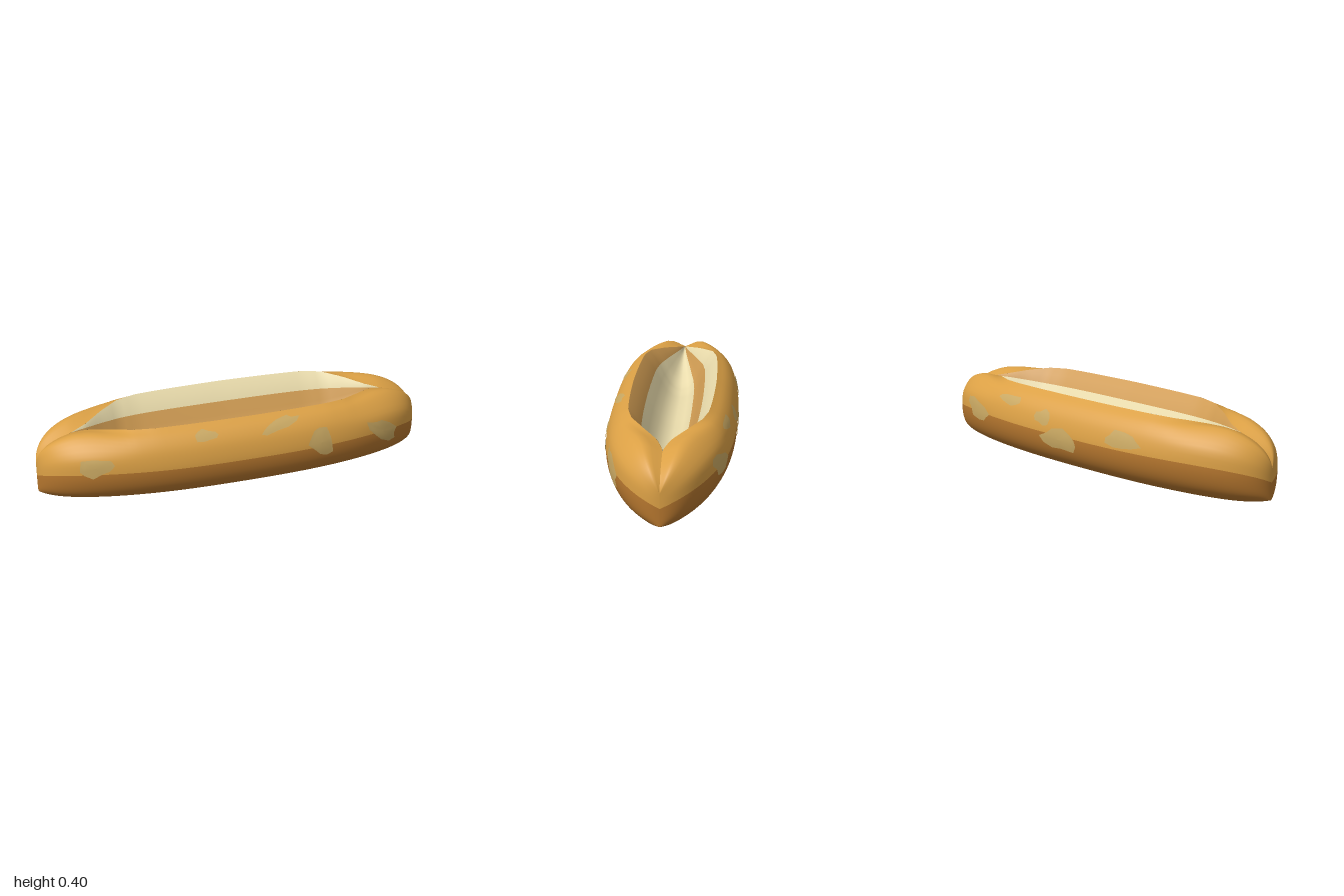
import * as THREE from 'three';

const { lerp, clamp } = THREE.MathUtils;
const V = (z, y) => new THREE.Vector3(0, y, z);

// Half cross-section from the bottom centre to the lip: sliced open, and closed at the ends
const OPEN = [[0, 0], [0.12, 0.008], [0.205, 0.036], [0.272, 0.078], [0.31, 0.14], [0.32, 0.22], [0.3, 0.305], [0.262, 0.362], [0.21, 0.4]];
const CLOSED = [[0, 0], [0.12, 0.008], [0.205, 0.036], [0.272, 0.078], [0.31, 0.14], [0.32, 0.22], [0.29, 0.32], [0.15, 0.4], [0, 0.365]];
const SLIT = [[0, 1], [0.45, 0.97], [0.55, 0.88], [0.65, 0.57], [0.74, 0.2], [0.82, 0]];
const SLIT_END = 0.82;

// How far the slice is open at x, from 0 to 1
function openness(x) {
  const a = Math.abs(x);
  for (let i = 1; i < SLIT.length; i++) {
    const [x0, g0] = SLIT[i - 1], [x1, g1] = SLIT[i];
    if (a <= x1) return lerp(g0, g1, (a - x0) / (x1 - x0));
  }
  return 0;
}

// Smooth half section at x
function section(x) {
  const a = Math.min(1, Math.abs(x)), o = openness(x);
  const width = Math.sqrt(1 - a ** 2.8);
  const top = 0.2 + 0.2 * Math.sqrt(1 - a ** 6);
  const bottom = 0.02 * a * a + 0.02 * a ** 12;
  const pts = OPEN.map(([z, y], i) => V(
    lerp(CLOSED[i][0], z, o) * width,
    bottom + (lerp(CLOSED[i][1], y, o) / 0.4) * (top - bottom)));
  return new THREE.CatmullRomCurve3(pts, false, 'catmullrom', 0.5);
}

// Skin rows of points; each band of columns becomes its own mesh with shared normals
function loft(rows, bands) {
  const cols = rows[0].length;
  const base = new THREE.BufferGeometry().setFromPoints(rows.flat());
  const indexFor = (keep) => {
    const index = [];
    for (let i = 0; i < rows.length - 1; i++) {
      for (let j = 0; j < cols - 1; j++) {
        if (!keep(j)) continue;
        const a = i * cols + j, b = a + cols;
        index.push(a, b, a + 1, b, b + 1, a + 1);
      }
    }
    return index;
  };
  base.setIndex(indexFor(() => true));
  base.computeVertexNormals();
  return bands.map(({ name, color, keep }) => {
    const geometry = base.clone().setIndex(indexFor(keep));
    const mesh = new THREE.Mesh(geometry, new THREE.MeshStandardMaterial({ color, side: THREE.DoubleSide }));
    mesh.name = name;
    return mesh;
  });
}

// Point on the crust at a given x and height, on the front (side 1) or back (side -1)
function crustPoint(x, y, side) {
  const curve = section(x);
  let lo = 0, hi = 0.97;
  for (let k = 0; k < 16; k++) {
    const mid = (lo + hi) / 2;
    if (curve.getPoint(mid).y < y) lo = mid; else hi = mid;
  }
  const p = curve.getPoint(lo);
  return new THREE.Vector3(x * 1.003, p.y + 0.003 * clamp((p.y - 0.2) / 0.2, -1, 1), side * (p.z + 0.004));
}

// Irregular pale spot that follows the crust
function flourSpot([x, y, rx, ry, tilt], side, seed) {
  const N = 11, RINGS = 4, pts = [], index = [];
  for (let r = 0; r <= RINGS; r++) {
    for (let k = 0; k < N; k++) {
      const t = (k / N) * Math.PI * 2;
      const s = (r / RINGS) * (0.9 + 0.14 * Math.sin(3 * t + seed) + 0.08 * Math.cos(5 * t + seed * 2));
      const dx = Math.cos(t) * rx * s, dy = Math.sin(t) * ry * s + tilt * dx;
      pts.push(crustPoint(x + dx, y + dy, side));
      if (r < RINGS) {
        const a = r * N + k, b = r * N + (k + 1) % N;
        index.push(a, a + N, b, b, a + N, b + N);
      }
    }
  }
  const geometry = new THREE.BufferGeometry().setFromPoints(pts);
  geometry.setIndex(side > 0 ? index : index.reverse());
  geometry.computeVertexNormals();
  const mesh = new THREE.Mesh(geometry, new THREE.MeshStandardMaterial({ color: 0xc9a862, side: THREE.DoubleSide }));
  mesh.name = 'flourSpot';
  return mesh;
}

export function createModel() {
  const bun = new THREE.Group();
  bun.name = 'slicedBun';

  // Crust: golden above, darker baked underside
  const HALF = 32, STATIONS = 96, BAND = 20;
  const crustRows = [];
  for (let i = 0; i <= STATIONS; i++) {
    const x = Math.sin((i / STATIONS - 0.5) * Math.PI);
    const half = section(x).getPoints(HALF);
    const at = (p, side) => new THREE.Vector3(x, p.y, side * p.z);
    crustRows.push([...half.slice(1).reverse().map((p) => at(p, -1)), ...half.map((p) => at(p, 1))]);
  }
  const isUnder = (j) => j >= HALF - BAND && j < HALF + BAND;
  bun.add(...loft(crustRows, [
    { name: 'upperCrust', color: 0xdba045, keep: (j) => !isUnder(j) },
    { name: 'lowerCrust', color: 0xb5762e, keep: isUnder },
  ]));

  // Inside of the slice: fraction of the opening and depth, from front lip to back lip
  const wall = [[1, 0], [0.84, 0.035], [0.68, 0.085], [0.53, 0.145], [0.38, 0.195], [0.2, 0.23], [0, 0.24]];
  const groove = [...wall, ...wall.slice(0, -1).reverse().map(([f, d]) => [-f, d])];
  const crumbRows = [];
  for (let i = 0; i <= 64; i++) {
    const x = SLIT_END * Math.sin((i / 64 - 0.5) * Math.PI);
    const lip = section(x).getPoint(1), o = openness(x);
    crumbRows.push(groove.map(([f, d]) => new THREE.Vector3(x, lip.y - d * o, lip.z * f)));
  }
  const isToasted = (j) => j < 2 || j === 8 || j === 9;
  bun.add(...loft(crumbRows, [
    { name: 'crumb', color: 0xe9dbab, keep: (j) => !isToasted(j) },
    { name: 'toastedCrumb', color: 0xcf9b52, keep: isToasted },
  ]));

  // Flour spots: x, y, half width, half height, tilt
  const front = [[-0.75, 0.25, 0.09, 0.05, 0.15], [-0.21, 0.355, 0.065, 0.024, 0], [0.17, 0.355, 0.11, 0.024, 0.2],
    [0.38, 0.245, 0.07, 0.08, -0.3], [0.74, 0.22, 0.1, 0.06, -0.5]];
  const back = [[0.68, 0.23, 0.11, 0.055, 0.2], [0.42, 0.33, 0.09, 0.025, 0], [0.17, 0.29, 0.06, 0.04, 0],
    [0.05, 0.2, 0.13, 0.06, 0], [-0.34, 0.27, 0.11, 0.045, 0]];
  front.forEach((spot, i) => bun.add(flourSpot(spot, 1, i + 1)));
  back.forEach((spot, i) => bun.add(flourSpot(spot, -1, i + 6)));
  return bun;
}
